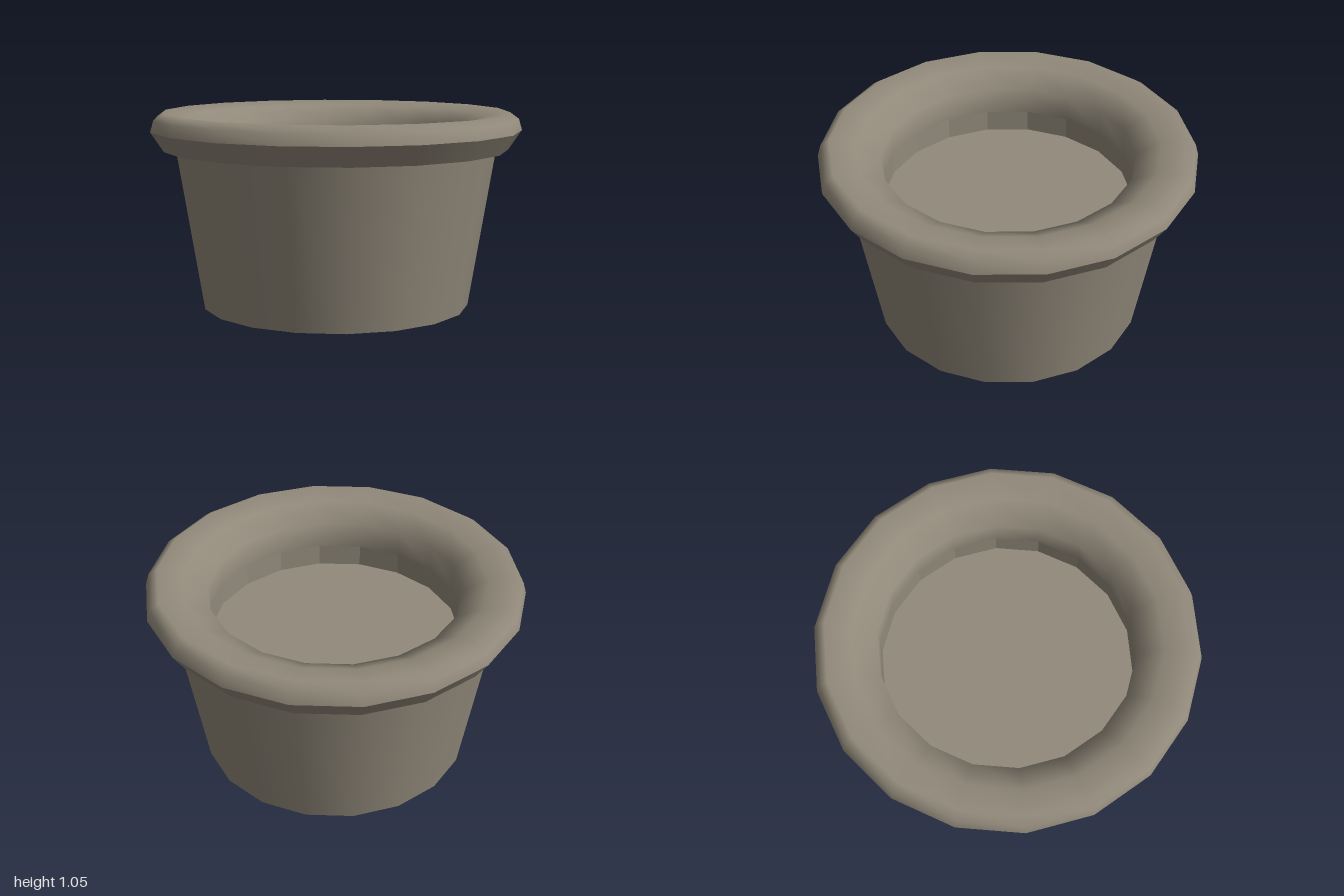
import * as THREE from 'three';

const SIDES = 18;

export function createModel() {
  const group = new THREE.Group();
  group.name = 'pot';
  const clay = new THREE.MeshStandardMaterial({ color: 0x928a7b, side: THREE.DoubleSide });
  clay.name = 'grey clay';

  const add = (name, geometry) => {
    const mesh = new THREE.Mesh(geometry, clay);
    mesh.name = name;
    group.add(mesh);
    return mesh;
  };
  // Revolve [radius, height] pairs, with a corner on the z axis
  const lathe = (name, profile) =>
    add(name, new THREE.LatheGeometry(profile.map(([r, y]) => new THREE.Vector2(r, y)), SIDES));

  // Hollow tapered body, open at the bottom
  lathe('body', [[0.725, 0], [0.865, 0.855]]);

  // Overhanging rim: flat ledge, sloped underside, rounded top running into the mouth
  lathe('rimLedge', [[0.865, 0.855], [0.93, 0.855]]);
  lathe('rimUnderside', [[0.93, 0.855], [1, 0.96]]);
  lathe('rimTop', [[1, 0.96], [0.983, 1.02], [0.935, 1.055], [0.8, 1.03], [0.67, 0.96], [0.67, 0.81]]);

  // Faceted lower part of the mouth
  const wall = new THREE.CylinderGeometry(0.67, 0.67, 0.12, SIDES, 1, true).toNonIndexed();
  wall.computeVertexNormals();
  add('mouthWall', wall).position.y = 0.75;

  // Flat fill inside the pot
  const soil = new THREE.CircleGeometry(0.67, SIDES, Math.PI / 2);
  soil.rotateX(-Math.PI / 2);
  add('fill', soil).position.y = 0.69;

  return group;
}
